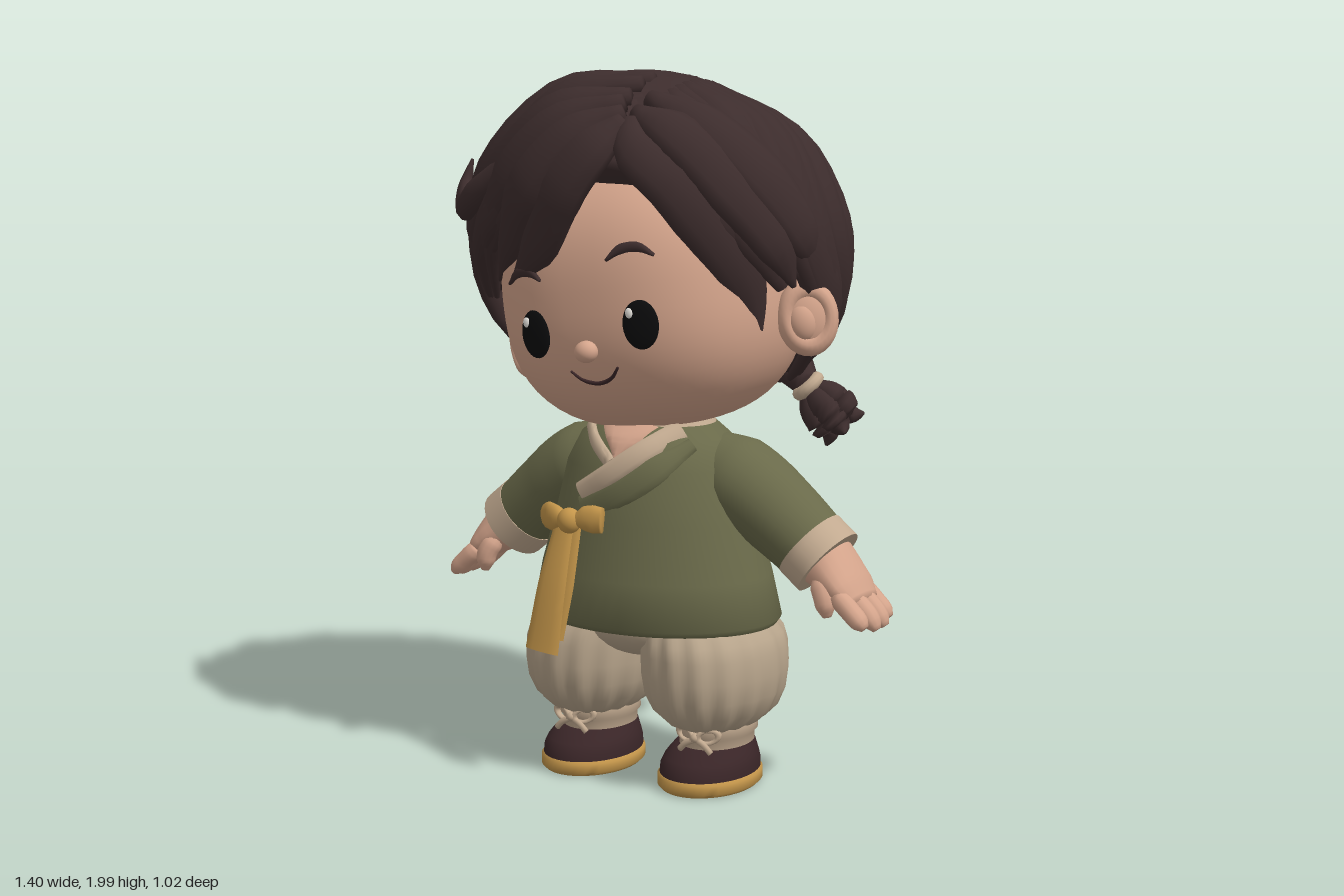
import * as THREE from 'three';
import { toCreasedNormals } from 'three/addons/utils/BufferGeometryUtils.js';

const V = (x, y, z) => new THREE.Vector3(x, y, z);
const mat = (name, color) => Object.assign(new THREE.MeshStandardMaterial({ color }), { name });
const lerp = THREE.MathUtils.lerp;

// value at t (0..1) along an evenly spaced list
function at(list, t) {
  if (!Array.isArray(list)) return list;
  const f = t * (list.length - 1), i = Math.min(Math.floor(f), list.length - 2);
  return lerp(list[i], list[i + 1], f - i);
}
// value from sorted [key, ...values] rows
function lookup(rows, k, col = 1) {
  let i = 0;
  while (i < rows.length - 2 && k > rows[i + 1][0]) i++;
  const t = THREE.MathUtils.clamp((k - rows[i][0]) / (rows[i + 1][0] - rows[i][0]), 0, 1);
  return lerp(rows[i][col], rows[i + 1][col], t);
}
// skin closed rings into a capped solid
function loft(rings, crease) {
  const n = rings[0].length, m = rings.length, pos = [], idx = [];
  rings.forEach(r => r.forEach(p => pos.push(p.x, p.y, p.z)));
  for (const r of [rings[0], rings[m - 1]]) {
    const c = r.reduce((s, p) => s.add(p), V(0, 0, 0)).divideScalar(n);
    pos.push(c.x, c.y, c.z);
  }
  for (let j = 0; j < n; j++) {
    const k = (j + 1) % n;
    for (let i = 0; i < m - 1; i++) {
      const a = i * n + j, b = i * n + k;
      idx.push(a, b, b + n, a, b + n, a + n);
    }
    idx.push(n * m, k, j, n * m + 1, (m - 1) * n + j, (m - 1) * n + k);
  }
  const g = new THREE.BufferGeometry();
  g.setAttribute('position', new THREE.Float32BufferAttribute(pos, 3));
  g.setIndex(idx);
  g.computeVertexNormals();
  return crease ? toCreasedNormals(g, crease) : g;
}
// horizontal elliptical ring with optional ripple
function ring(cx, y, cz, rx, rz, ripple = 0, count = 16, n = 48) {
  return Array.from({ length: n }, (_, j) => {
    const a = j / n * Math.PI * 2, k = 1 + ripple * Math.cos(a * count);
    return V(cx + Math.sin(a) * rx * k, y, cz + Math.cos(a) * rz * k);
  });
}
// elliptical section swept along a curve; facing(p) is the thickness direction
function sweep(pts, w, h, facing, crease, steps = 14, n = 12) {
  const curve = new THREE.CatmullRomCurve3(pts), rings = [];
  for (let i = 0; i <= steps; i++) {
    const t = i / steps, p = curve.getPoint(t), T = curve.getTangent(t);
    const N = facing(p).clone().addScaledVector(T, -facing(p).dot(T)).normalize();
    const B = T.clone().cross(N);
    rings.push(Array.from({ length: n }, (_, j) => {
      const a = j / n * Math.PI * 2;
      return p.clone().addScaledVector(N, Math.cos(a) * at(h, t)).addScaledVector(B, Math.sin(a) * at(w, t));
    }));
  }
  return loft(rings, crease);
}
const forward = () => V(0, 0, 1);

// jacket profile: height, half width, back z, front z
const jacket = [[0.458, 0.36, -0.2, 0.35], [0.475, 0.372, -0.215, 0.365], [0.6, 0.345, -0.19, 0.345], [0.75, 0.3, -0.165, 0.32],
  [0.9, 0.262, -0.14, 0.295], [0.98, 0.22, -0.11, 0.26], [1.03, 0.15, -0.07, 0.2]];
function onJacket(x, y, lift) {
  const [rx, zb, zf] = [1, 2, 3].map(c => lookup(jacket, y, c));
  const u = Math.min(0.95, Math.abs(x / rx));
  return V(x, y, (zb + zf) / 2 + (zf - zb) / 2 * Math.sqrt(1 - u * u) + lift);
}

// hair volume: an egg leaning forward at the top, with its own hairline
const C = V(-0.045, 1.5, -0.02), RX = 0.525, RZ = 0.455;
const ry = dy => dy > 0 ? 0.488 : 0.56;
const lean = dy => 0.17 * Math.max(0, dy);
const fromHair = p => p.clone().sub(C);
function project(p) {
  const d = fromHair(p);
  d.z -= lean(d.y);
  d.divideScalar(Math.hypot(d.x / RX, d.y / ry(d.y), d.z / RZ));
  d.z += lean(d.y);
  return d.add(C);
}
function hairPoint(a, y) {
  const dy = y - C.y, v = dy / ry(dy), c = Math.sqrt(Math.max(0, 1 - v * v));
  return V(C.x + RX * c * Math.sin(a), y, C.z + lean(dy) + RZ * c * Math.cos(a));
}
const hairRows = [[0, 1.75], [30, 1.69], [50, 1.56], [66, 1.38], [78, 1.42], [97, 1.42], [106, 1.18], [118, 1.1], [140, 1.07], [180, 1.06]];
function hairline(a) {
  const deg = Math.abs(a) * 180 / Math.PI;
  const sweepSide = a < 0 ? -0.1 * Math.sin(Math.PI * THREE.MathUtils.clamp(deg / 66, 0, 1)) : 0;
  return lookup(hairRows, deg) + 0.04 * Math.sin(a) + sweepSide;
}

// face volume, relative to the head pivot
const F = { y: 0.08, z: 0.05, rx: 0.41, ry: 0.38, rz: 0.4, n: 2.5 };
function faceZ(x, y) {
  const k = 1 - Math.abs(x / F.rx) ** F.n - Math.abs((y - F.y) / F.ry) ** F.n;
  return F.z + F.rz * Math.max(0, k) ** (1 / F.n);
}
const onFace = (x, y, lift = 0) => V(x, y, faceZ(x, y) + lift);

export function createModel() {
  const M = {
    skin: mat('skin', 0xd5a58c), hair: mat('dark brown hair', 0x3d2d2d), green: mat('olive cloth', 0x6a6a4a),
    trim: mat('beige trim', 0xc2aa90), pants: mat('tan cloth', 0xb8a58c), gold: mat('golden ochre', 0xc3954a),
    shoe: mat('shoe brown', 0x392527), black: mat('eye black', 0x0b0b0c), white: mat('eye highlight', 0xe9e6e0),
  };
  const model = new THREE.Group();
  const add = (name, geo, m, parent = model) => {
    const mesh = new THREE.Mesh(geo, m);
    mesh.name = name;
    parent.add(mesh);
    return mesh;
  };
  const ball = (name, m, p, s, parent) => {
    const b = add(name, new THREE.SphereGeometry(1, 24, 16), m, parent);
    b.position.copy(p);
    b.scale.set(...s);
    return b;
  };

  // head, tilted a little
  const head = new THREE.Group();
  head.name = 'head';
  head.position.y = 1.3;
  head.rotation.z = 0.14;
  model.add(head);
  const skull = new THREE.SphereGeometry(1, 48, 36), sp = skull.attributes.position;
  for (let i = 0; i < sp.count; i++) {
    const p = V(0, 0, 0).fromBufferAttribute(sp, i);
    const k = (Math.abs(p.x) ** F.n + Math.abs(p.y) ** F.n + Math.abs(p.z) ** F.n) ** (-1 / F.n);
    sp.setXYZ(i, p.x * k * F.rx, F.y + p.y * k * F.ry, F.z + p.z * k * F.rz * (p.z < 0 ? 0.8 : 1));
  }
  skull.computeVertexNormals();
  add('face', skull, M.skin, head);
  ball('nose', M.skin, onFace(0, -0.05, 0.012), [0.033, 0.03, 0.03], head);
  const smile = [[-0.075, -0.1], [-0.045, -0.128], [0, -0.14], [0.045, -0.128], [0.075, -0.1]].map(p => onFace(...p));
  add('mouth', sweep(smile, [0.003, 0.006, 0.006, 0.003], 0.006, forward), M.shoe, head);
  for (const s of [1, -1]) {
    ball('eye', M.black, onFace(s * 0.167, 0.008), [0.051, 0.066, 0.016], head).rotation.y = s * 0.2;
    ball('eyeHighlight', M.white, onFace(s * 0.167 - 0.02, 0.042, 0.013), [0.011, 0.014, 0.005], head);
    const [out, drop] = s < 0 ? [0.035, 0.035] : [0, 0];
    const brow = [[0.09, 0.185], [0.13, 0.21], [0.18, 0.21], [0.22, 0.185]].map(p => onFace(s * (p[0] + out), p[1] - drop));
    add('eyebrow', sweep(brow, [0.004, 0.014, 0.014, 0.004], 0.009, forward), M.hair, head);
    const ear = new THREE.Group();
    ear.name = 'ear';
    ear.position.set(s * 0.46, -0.035, 0.05);
    ear.rotation.y = s * 0.6;
    head.add(ear);
    add('earRim', new THREE.TorusGeometry(0.06, 0.025, 12, 28), M.skin, ear).scale.set(1, 1.25, 1.4);
    ball('earBowl', M.skin, V(0, 0, -0.01), [0.074, 0.094, 0.048], ear);
    ball('earLobe', M.skin, V(-s * 0.015, -0.01, 0.012), [0.042, 0.055, 0.035], ear);
  }

  // hair cap
  const rings = [], around = Array.from({ length: 72 }, (_, j) => (j / 72 > 0.5 ? j / 72 - 1 : j / 72) * Math.PI * 2);
  rings.push(around.map(a => hairPoint(a, hairline(a)).sub(C).multiplyScalar(0.82).add(C)));
  for (let i = 0; i <= 16; i++) {
    const t = Math.sin(i / 16 * Math.PI / 2);
    rings.push(around.map(a => hairPoint(a, lerp(hairline(a), C.y + ry(1) - 0.0005, t))));
  }
  add('hairCap', loft(rings), M.hair);

  // combed locks sweeping back from the parting down to the hairline
  let seed = 7;
  const rand = () => (seed = (seed * 16807) % 2147483647) / 2147483647;
  const lock = (name, pts, w, h) => add(name, sweep(pts, w, h, fromHair, 0, 18, 10), M.hair);
  for (const s of [1, -1]) for (let i = 0; i < 18; i++) {
    const f = (i + 0.5) / 18, a = s * lerp(0.5, Math.PI, f);
    const start = project(V(0.09 + s * 0.02, 1.93, lerp(0.38, -0.14, Math.min(1, f * 1.2))));
    const end = hairPoint(a + (rand() - 0.5) * 0.1, hairline(a));
    const half = (p, q) => project(p.clone().lerp(q, 0.5));
    const mid = project(start.clone().lerp(end, 0.5).add(V(s * 0.06, 0, 0.14).multiplyScalar(Math.sin(Math.PI * f))));
    const k = 0.8 + rand() * 0.45, root = start.clone().sub(C).multiplyScalar(0.965).add(C);
    lock('combedLock', [root, half(start, mid), mid, half(mid, end), end],
      [0.03, 0.052 * k, 0.066 * k, 0.062 * k, 0.02], [0.02, 0.034 * k, 0.035 * k, 0.033 * k, 0.014]);
  }

  // fringe swept to both sides of the parting
  const fringe = [
    [[0.09, 1.86, 0.39], [0.03, 1.79, 0.45], [-0.06, 1.68, 0.47], [-0.15, 1.53, 0.44], [-0.28, 1.41, 0.37]],
    [[0.08, 1.88, 0.37], [-0.05, 1.82, 0.43], [-0.18, 1.68, 0.45], [-0.27, 1.54, 0.39], [-0.37, 1.41, 0.3]],
    [[0.06, 1.905, 0.34], [-0.12, 1.85, 0.39], [-0.28, 1.7, 0.39], [-0.39, 1.53, 0.31], [-0.44, 1.35, 0.22]],
    [[0.05, 1.92, 0.29], [-0.15, 1.885, 0.34], [-0.35, 1.72, 0.32], [-0.49, 1.55, 0.23], [-0.53, 1.35, 0.15]],
    [[0.05, 1.95, 0.23], [-0.18, 1.915, 0.26], [-0.39, 1.75, 0.24], [-0.56, 1.56, 0.13], [-0.59, 1.38, 0.06]],
    [[0.05, 1.96, 0.17], [-0.18, 1.92, 0.18], [-0.42, 1.75, 0.15], [-0.565, 1.55, 0.04], [-0.57, 1.41, -0.03]],
    [[0.1, 1.86, 0.38], [0.14, 1.79, 0.42], [0.24, 1.7, 0.39], [0.33, 1.55, 0.3], [0.37, 1.42, 0.22], [0.38, 1.28, 0.17]],
    [[0.1, 1.88, 0.35], [0.22, 1.83, 0.36], [0.35, 1.69, 0.29], [0.44, 1.54, 0.2], [0.46, 1.42, 0.13]],
    [[0.1, 1.915, 0.28], [0.26, 1.85, 0.28], [0.4, 1.71, 0.21], [0.475, 1.56, 0.12], [0.48, 1.46, 0.04]],
  ];
  for (const pts of fringe) {
    lock('fringeLock', pts.map(p => V(...p)), [0.025, 0.07, 0.085, 0.07, 0.008], [0.025, 0.04, 0.042, 0.035, 0.008]);
  }
  lock('curledTuft', [V(-0.25, 1.77, 0.37), V(-0.42, 1.65, 0.34), V(-0.51, 1.61, 0.26), V(-0.55, 1.66, 0.21), V(-0.54, 1.735, 0.19)],
    [0.03, 0.05, 0.045, 0.03, 0.004], [0.025, 0.035, 0.035, 0.022, 0.004]);

  // small side ponytail with its tie
  const base = V(0.335, 1.1, -0.2), dir = V(0.55, -0.7, -0.3).normalize();
  const e1 = V(0.78, 0.62, 0).normalize(), e2 = dir.clone().cross(e1);
  lock('ponytailRoot', [V(0.18, 1.2, -0.3), V(0.26, 1.14, -0.26), base], [0.05, 0.06, 0.035], [0.03, 0.045, 0.035]);
  for (let i = 0; i < 5; i++) {
    const a = i / 5 * Math.PI * 2, off = e1.clone().multiplyScalar(Math.cos(a)).addScaledVector(e2, Math.sin(a));
    const p = (d, o) => base.clone().addScaledVector(dir, d).addScaledVector(off, o);
    lock('ponytailLock', [p(0, 0.005), p(0.05, 0.035), p(0.1, 0.045), p(0.14, 0.045), p(0.16, 0.075)],
      [0.016, 0.038, 0.046, 0.034, 0.004], [0.016, 0.034, 0.04, 0.03, 0.004]);
  }
  const tie = add('hairTie', new THREE.TorusGeometry(0.034, 0.019, 10, 20), M.trim);
  tie.position.copy(base);
  tie.quaternion.setFromUnitVectors(V(0, 0, 1), dir);

  // jacket body and crossed collar
  add('jacketBody', loft(jacket.map(([y, rx, zb, zf]) => ring(0, y, (zb + zf) / 2, rx, (zf - zb) / 2)), 0.9), M.green);
  add('neckband', loft([ring(0, 0.99, 0.07, 0.185, 0.16), ring(0, 1.05, 0.065, 0.15, 0.13)], 0.9), M.trim);
  const strip = (name, pts, w, lift, m) => add(name, sweep(pts.map(p => onJacket(p[0], p[1], lift)), w, 0.012, forward, 0.9), m);
  strip('neckSkin', [[0, 1.02], [0, 0.98], [-0.005, 0.935]], [0.09, 0.05, 0.01], 0.002, M.skin);
  strip('innerCollar', [[-0.16, 1.0], [-0.09, 0.97], [-0.02, 0.92]], 0.02, 0.004, M.trim);
  strip('outerLapel', [[0.18, 0.975], [0.11, 0.91], [0.02, 0.845], [-0.1, 0.785]], [0.02, 0.04, 0.042, 0.04], -0.001, M.green);
  strip('frontCollar', [[0.14, 1.01], [0.07, 0.955], [-0.01, 0.895], [-0.11, 0.83]], 0.032, 0.008, M.trim);

  // ribbon tie on the chest
  add('ribbonTail', sweep([V(-0.145, 0.75, 0.33), V(-0.165, 0.58, 0.365), V(-0.185, 0.39, 0.39)], [0.03, 0.045, 0.054], 0.011, forward, 0.7), M.gold);
  add('ribbonUnderTail', sweep([V(-0.12, 0.75, 0.32), V(-0.14, 0.58, 0.352), V(-0.165, 0.43, 0.374)], [0.025, 0.038, 0.042], 0.01, forward, 0.7), M.gold);
  add('ribbonLoop', sweep([V(-0.14, 0.76, 0.335), V(-0.18, 0.762, 0.33), V(-0.22, 0.757, 0.305)], [0.018, 0.035, 0.042, 0.036], 0.02, forward), M.gold);
  add('ribbonLoop', sweep([V(-0.1, 0.765, 0.34), V(-0.06, 0.77, 0.34), V(-0.02, 0.768, 0.33)], [0.018, 0.035, 0.04, 0.036], 0.02, forward), M.gold);
  ball('ribbonKnot', M.gold, V(-0.12, 0.76, 0.345), [0.035, 0.036, 0.032]);

  ball('pantsSeat', M.pants, V(0, 0.46, 0.078), [0.2, 0.115, 0.225]);

  for (const s of [1, -1]) {
    // sleeve, cuff and hand
    const over = () => V(s * 0.69, 0.72, 0);
    add('sleeve', sweep([V(s * 0.15, 0.9, 0.05), V(s * 0.27, 0.85, 0.045), V(s * 0.38, 0.77, 0.035), V(s * 0.49, 0.68, 0.03)],
      [0.1, 0.13, 0.128, 0.12, 0.11], [0.1, 0.125, 0.12, 0.112, 0.104], over, 0.9, 16, 28), M.green);
    add('cuff', sweep([V(s * 0.463, 0.702, 0.03), V(s * 0.492, 0.678, 0.03), V(s * 0.52, 0.655, 0.03)], 0.117, 0.109, over, 0.9, 4, 28), M.trim);
    add('palm', sweep([V(s * 0.48, 0.69, 0.03), V(s * 0.56, 0.625, 0.035), V(s * 0.635, 0.56, 0.04)],
      [0.09, 0.095, 0.102, 0.102, 0.075], [0.085, 0.078, 0.062, 0.046, 0.025], over, 0, 14, 20), M.skin);
    for (let i = 0; i < 4; i++) {
      const z = -0.035 + i * 0.051, reach = i === 0 || i === 3 ? -0.012 : 0;
      add('finger', sweep([V(s * 0.59, 0.59, z), V(s * (0.65 + reach), 0.545, z), V(s * (0.69 + reach), 0.495 - reach, z)],
        [0.02, 0.029, 0.03, 0.03, 0.03, 0.028, 0.014], [0.02, 0.028, 0.028, 0.027, 0.027, 0.024, 0.012], over), M.skin);
    }
    add('thumb', sweep([V(s * 0.53, 0.63, 0.1), V(s * 0.555, 0.58, 0.12), V(s * 0.565, 0.525, 0.12)],
      [0.02, 0.032, 0.03, 0.028, 0.012], [0.02, 0.032, 0.03, 0.028, 0.012], forward), M.skin);

    // gathered trouser leg: height, half width, half depth, fold depth, centre x
    const leg = [[0.165, 0.095, 0.125, 0.02, 0.195], [0.185, 0.125, 0.165, 0.05, 0.195], [0.22, 0.16, 0.205, 0.04, 0.195],
      [0.27, 0.183, 0.235, 0.025, 0.194], [0.33, 0.193, 0.247, 0.014, 0.193], [0.39, 0.192, 0.246, 0.016, 0.19],
      [0.43, 0.186, 0.238, 0.02, 0.183], [0.465, 0.172, 0.215, 0.02, 0.168], [0.54, 0.12, 0.16, 0, 0.14]];
    add('trouserLeg', loft(leg.map(([y, rx, rz, k, cx]) => ring(s * cx, y, 0.075, rx, rz, k, 16, 96))), M.pants);
    add('ankleWrap', loft([ring(s * 0.195, 0.09, 0.07, 0.1, 0.125), ring(s * 0.195, 0.14, 0.07, 0.1, 0.125),
      ring(s * 0.195, 0.15, 0.07, 0.11, 0.135), ring(s * 0.195, 0.175, 0.07, 0.108, 0.133)], 0.9), M.trim);

    // ankle bow
    for (const k of [1, -1]) {
      const loop = add('ankleBowLoop', new THREE.TorusGeometry(0.03, 0.01, 8, 18), M.trim);
      loop.position.set(s * 0.205 + k * 0.035, 0.158, 0.2);
      loop.scale.y = 0.6;
      loop.rotation.set(0, k * 0.35, k * 0.25);
      add('ankleBowTail', sweep([V(s * 0.205, 0.15, 0.21), V(s * 0.205 + k * 0.03, 0.135, 0.212), V(s * 0.205 + k * 0.05, 0.115, 0.21)],
        0.009, 0.008, forward, 0, 6, 8), M.trim);
    }
    ball('ankleBowKnot', M.trim, V(s * 0.205, 0.153, 0.21), [0.015, 0.014, 0.014]);

    // shoe: height, centre z, half width, half length
    const layer = rows => loft(rows.map(([y, cz, rx, rz]) => ring(s * 0.195, y, cz, rx, rz)), 0.8);
    add('shoeSole', layer([[0, 0.108, 0.128, 0.168], [0.01, 0.108, 0.138, 0.178], [0.035, 0.108, 0.138, 0.178], [0.042, 0.108, 0.132, 0.172]]), M.gold);
    add('shoeUpper', layer([[0.038, 0.108, 0.132, 0.172], [0.065, 0.106, 0.131, 0.169], [0.085, 0.1, 0.125, 0.157],
      [0.1, 0.09, 0.117, 0.143], [0.115, 0.078, 0.107, 0.13]]), M.shoe);
  }
  return model;
}
